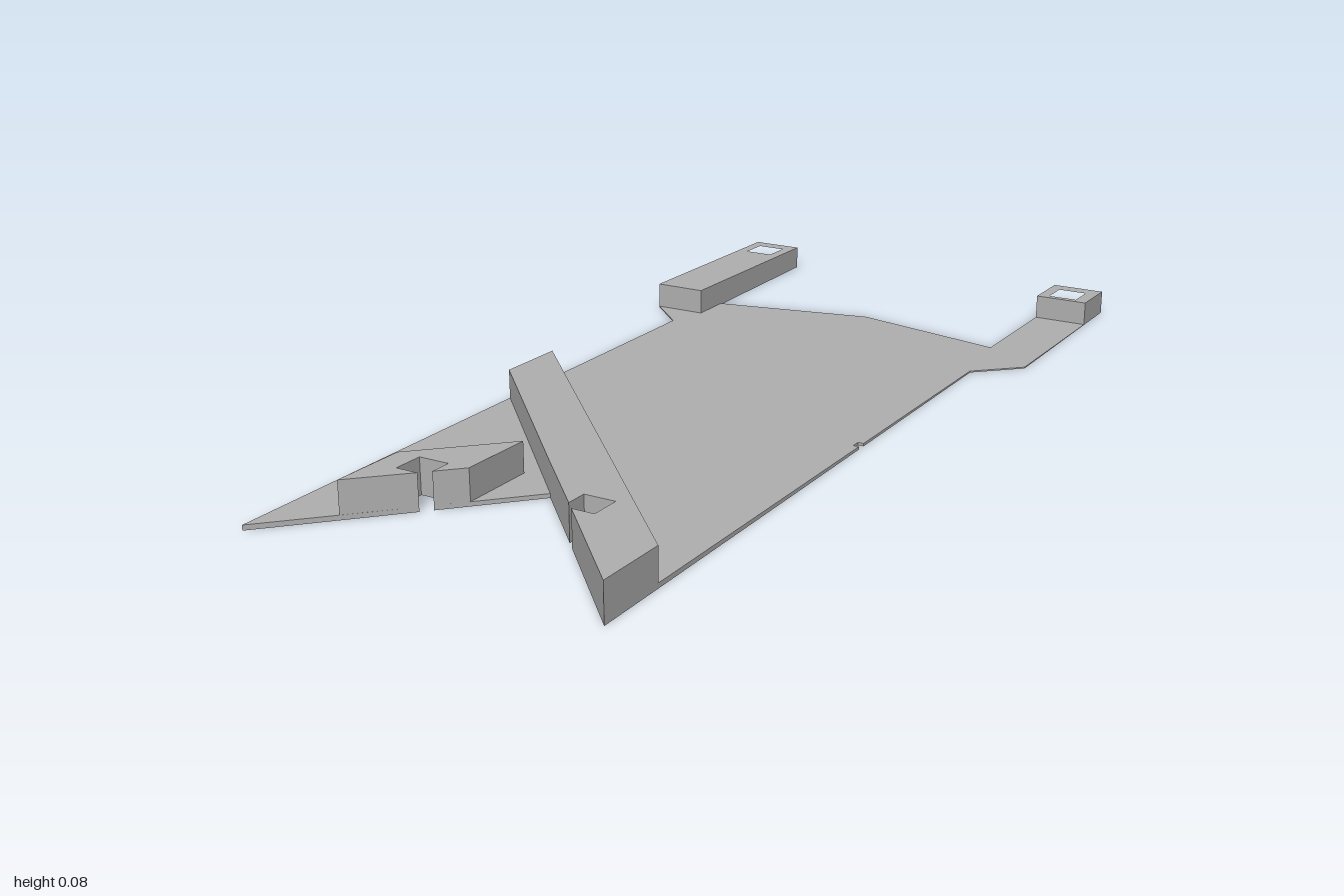
import * as THREE from 'three';

const gray = new THREE.MeshStandardMaterial({ color: 0xb0b0b0 });
gray.name = 'plain gray';

// Upright slab from a plan outline of [x, z] points; its top follows height(z)
function slab(name, outline, holes, base, height) {
  const toVec = ([x, z]) => new THREE.Vector2(x, -z);
  const shape = new THREE.Shape(outline.map(toVec));
  shape.holes = holes.map((h) => new THREE.Path(h.map(toVec)));
  const geo = new THREE.ExtrudeGeometry(shape, { depth: 1, bevelEnabled: false });
  geo.rotateX(-Math.PI / 2);
  const p = geo.attributes.position;
  for (let i = 0; i < p.count; i++) {
    p.setY(i, p.getY(i) > 0.5 ? height(p.getZ(i)) : base);
  }
  geo.computeVertexNormals();
  const mesh = new THREE.Mesh(geo, gray);
  mesh.name = name;
  return mesh;
}

const rect = (x0, x1, z0, z1) => [[x0, z0], [x1, z0], [x1, z1], [x0, z1]];
const plateTop = (z) => 0.0055 + 0.005 * z;
const blockTop = (z) => 0.0645 + 0.013 * z;

// Square slot cut into the sloping edge of the front notch
const slot = [[0.163, 0.78], [0.21, 0.78], [0.21, 0.715], [0.145, 0.715], [0.145, 0.761]];
const slotMirrored = slot.map(([x, z]) => [-x, z]).reverse();

export function createModel() {
  const group = new THREE.Group();
  group.name = 'mountingPlate';

  const leftHole = rect(0.37, 0.435, -0.965, -0.9);
  const rightHole = rect(-0.44, -0.375, -0.965, -0.9);

  // Thin base plate with two rear arms and a V notch at the front
  group.add(slab('basePlate', [
    [0, -0.685], [0.345, -0.61], [0.345, -1], [0.463, -1], [0.463, -0.515], [0.372, -0.43],
    [0.372, 0.09], [0.36, 0.09], [0.36, 0.11], [0.372, 0.11], [0.372, 1],
    ...slot, [0, 0.61], ...slotMirrored,
    [-0.375, 1], [-0.375, -0.43], [-0.465, -0.515], [-0.465, -1], [-0.35, -1], [-0.35, -0.61],
  ], [leftHole, rightHole], 0, plateTop));

  // Raised blocks on the rear arms: a long one and a short one
  group.add(slab('rightArmBlock', rect(-0.465, -0.35, -1, -0.515), [rightHole], 0.0002, blockTop));
  group.add(slab('leftArmBlock', rect(0.345, 0.463, -1, -0.885), [leftHole], 0.0002, blockTop));

  // Diagonal bar across the front
  group.add(slab('diagonalBar', [
    [-0.375, 0.06], [0.372, 0.84], [0.372, 1], ...slot, [0, 0.61], [-0.375, 0.215],
  ], [], 0.0002, blockTop));

  // Small slotted block beside the notch
  group.add(slab('frontBlock', [
    [-0.1, 0.55], [-0.1, 0.714], ...slotMirrored, [-0.26, 0.88], [-0.26, 0.715],
  ], [], 0.0002, blockTop));

  return group;
}
